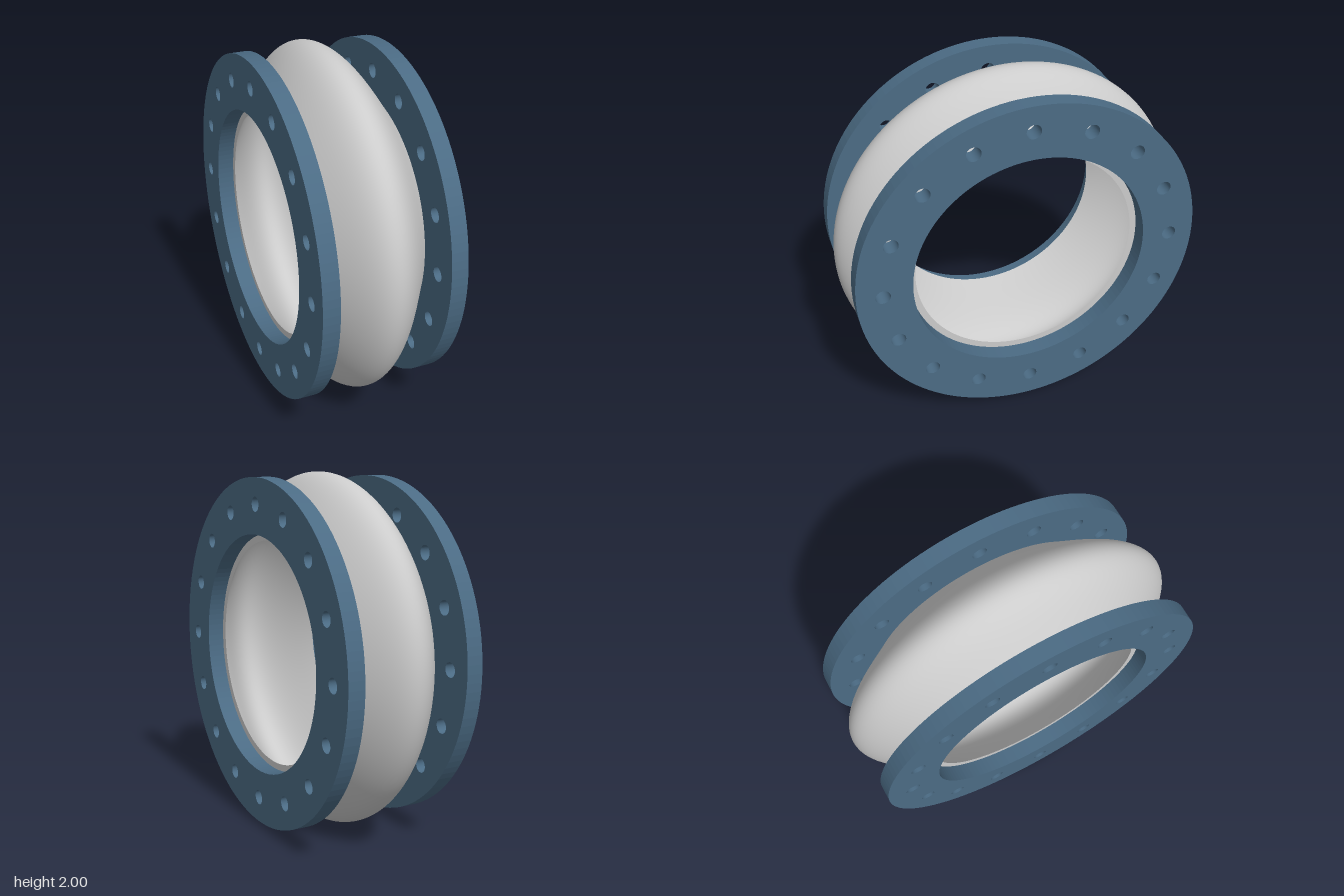
import * as THREE from 'three';

const HALF = 0.305; // half width of the bellows, where the flanges begin
const FLANGE = 0.095; // flange thickness

export function createModel() {
  const model = new THREE.Group();
  model.name = 'expansionJoint';
  const rubber = new THREE.MeshStandardMaterial({ color: 0xcccccc, side: THREE.DoubleSide });
  const steel = new THREE.MeshStandardMaterial({ color: 0x4b6b84 });

  // Bellows: arched wall revolved around the x axis
  const bulge = (x) => 1 - 0.232 * (1 - Math.cos(2 * Math.PI * x));
  const arch = (inset, steps = 32) => Array.from({ length: steps + 1 }, (_, i) => {
    const x = -HALF + (2 * HALF * i) / steps;
    return new THREE.Vector2(bulge(x) - inset, x);
  });
  const revolve = (points, name) => {
    const geometry = new THREE.LatheGeometry(points, 128);
    geometry.rotateZ(-Math.PI / 2);
    const mesh = new THREE.Mesh(geometry, rubber);
    mesh.name = name;
    mesh.position.y = 1;
    model.add(mesh);
  };
  const outer = arch(0);
  const inner = arch(0.06).reverse();
  revolve(outer, 'bellowsOuterWall');
  revolve(inner, 'bellowsInnerWall');
  revolve([outer.at(-1), inner[0]], 'bellowsLeftLip');
  revolve([inner.at(-1), outer[0]], 'bellowsRightLip');

  // Flange: ring plate with sixteen bolt holes
  const plate = new THREE.Shape().absarc(0, 0, 0.975, 0, Math.PI * 2);
  const hole = (x, y, r) => plate.holes.push(new THREE.Path().absarc(x, y, r, 0, Math.PI * 2, true));
  hole(0, 0, 0.667);
  for (let i = 0; i < 16; i++) {
    const a = (i * Math.PI) / 8;
    hole(0.83 * Math.cos(a), 0.83 * Math.sin(a), 0.041);
  }
  const flangeGeometry = new THREE.ExtrudeGeometry(plate, {
    depth: FLANGE, bevelEnabled: false, curveSegments: 64,
  });
  flangeGeometry.rotateY(Math.PI / 2);

  for (const [name, x] of [['leftFlange', HALF], ['rightFlange', -HALF - FLANGE]]) {
    const flange = new THREE.Mesh(flangeGeometry, steel);
    flange.name = name;
    flange.position.set(x, 1, 0);
    model.add(flange);
  }
  return model;
}
